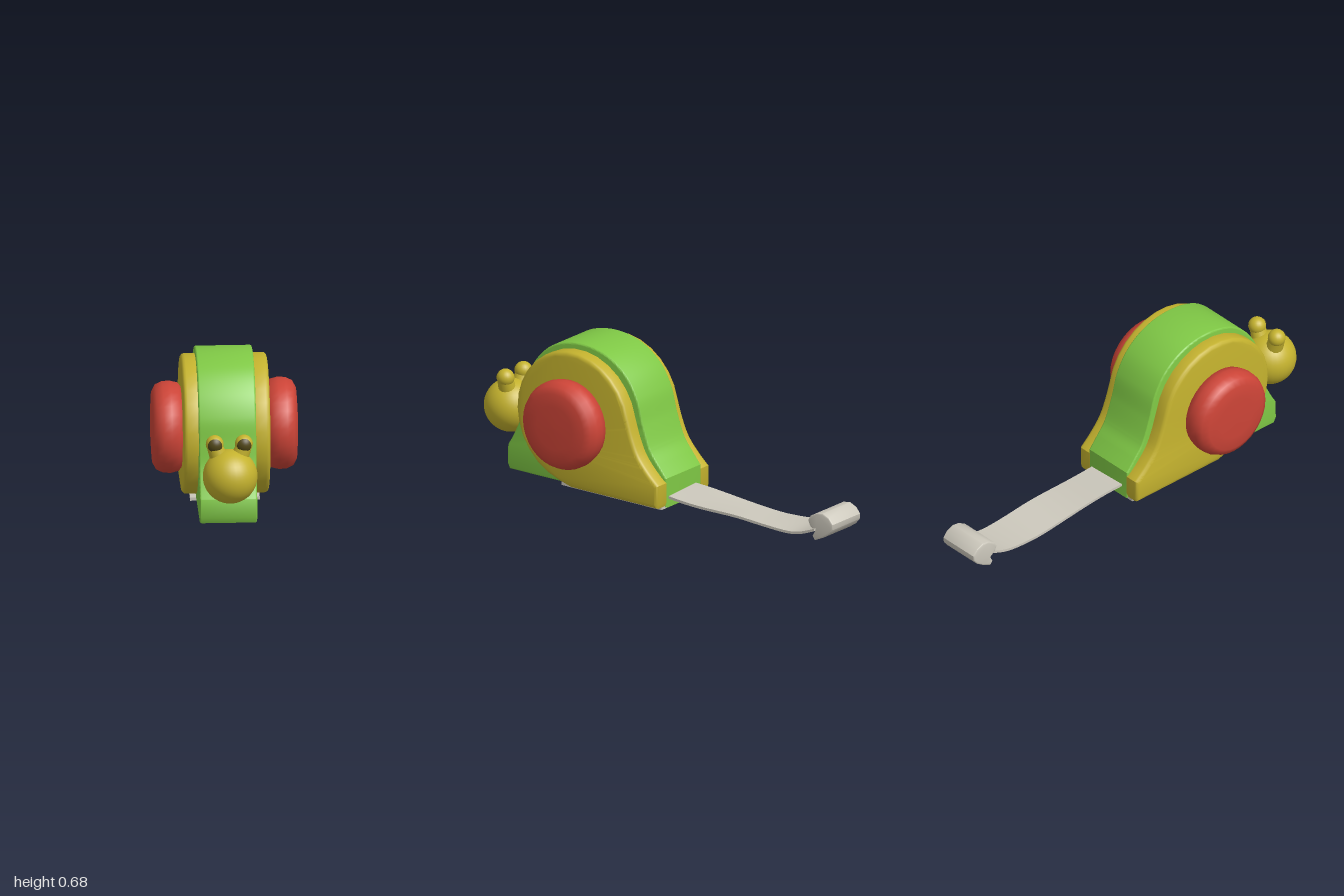
import * as THREE from 'three';
import { toCreasedNormals } from 'three/addons/utils/BufferGeometryUtils.js';

const colour = (name, hex) => {
  const m = new THREE.MeshStandardMaterial({ color: hex });
  m.name = name;
  return m;
};

export function createModel() {
  const group = new THREE.Group();
  const yellow = colour('yellow', 0xc4b22e);
  const green = colour('green', 0x7fc845);
  const red = colour('red', 0xcc4437);
  const silver = colour('silver', 0xcbc7bb);
  const dark = colour('dark olive', 0x514718);

  const add = (name, geometry, material, x = 0, y = 0, z = 0) => {
    const mesh = new THREE.Mesh(geometry, material);
    mesh.name = name;
    mesh.position.set(x, y, z);
    group.add(mesh);
    return mesh;
  };

  // Extrude a side profile, given as [z, y], to a width centred on x = 0
  const slab = (shape, width, bevel) => {
    const geo = new THREE.ExtrudeGeometry(shape, {
      depth: width - 2 * bevel, bevelThickness: bevel, bevelSize: bevel,
      bevelOffset: -bevel, bevelSegments: 3, curveSegments: 10,
    });
    geo.translate(0, 0, bevel - width / 2);
    geo.rotateY(-Math.PI / 2);
    return toCreasedNormals(geo, 0.6);
  };
  const v = (pts) => pts.map(([a, b]) => new THREE.Vector2(a, b));

  // Green shell band with front foot and tail
  const band = new THREE.Shape();
  band.moveTo(-0.09, 0.003);
  band.lineTo(0.79, 0.003);
  band.lineTo(0.803, 0.03);
  band.lineTo(0.8, 0.115);
  band.splineThru(v([[0.768, 0.17], [0.732, 0.25], [0.712, 0.35], [0.69, 0.46], [0.63, 0.565],
    [0.53, 0.645], [0.39, 0.675], [0.25, 0.652], [0.14, 0.58], [0.075, 0.48],
    [0.04, 0.36], [0, 0.255], [-0.045, 0.195], [-0.09, 0.14]]));
  add('shellBand', slab(band, 0.256, 0.008), green);

  // Yellow side plates
  const plate = new THREE.Shape();
  plate.moveTo(-0.085, 0.012);
  plate.lineTo(0.4, 0.012);
  plate.absarc(0.39, 0.335, 0.313, -1.3, 2.95, false);
  plate.splineThru(v([[0.055, 0.31], [0.02, 0.235], [-0.035, 0.17], [-0.09, 0.12]]));
  plate.lineTo(-0.09, 0.03);
  const plateGeo = slab(plate, 0.085, 0.018);
  for (const s of [1, -1]) {
    const side = s > 0 ? 'left' : 'right';
    add(side + 'SidePlate', plateGeo, yellow, s * 0.15);

    // Rounded red wheel
    const profile = v([[0.17, 0], [0.197, 0.02], [0.206, 0.055], [0.204, 0.09],
      [0.19, 0.12], [0.16, 0.136], [0.1, 0.14], [0.0001, 0.141]]);
    const wheel = new THREE.LatheGeometry(profile, 32);
    wheel.rotateZ(-s * Math.PI / 2);
    add(side + 'Wheel', wheel, red, s * 0.185, 0.325 + s * 0.005, 0.387);
  }

  // Silver base plate
  add('basePlate', new THREE.BoxGeometry(0.31, 0.016, 0.56), silver, 0, 0.008, 0.195);

  // Neck and head
  const neck = new THREE.CylinderGeometry(0.05, 0.07, 0.12, 20);
  neck.rotateX(Math.PI / 2);
  add('neck', neck, green, 0, 0.215, 0.735);
  add('head', new THREE.SphereGeometry(0.122, 32, 24), yellow, 0.003, 0.253, 0.876);

  // Eye stalks, knobs and pupils
  for (const s of [1, -1]) {
    const side = s > 0 ? 'left' : 'right';
    const stalk = add(side + 'EyeStalk', new THREE.CylinderGeometry(0.034, 0.043, 0.09, 16),
      yellow, s * 0.054, 0.358, 0.862);
    stalk.rotation.z = -s * 0.35;
    const x = s * 0.065;
    add(side + 'EyeKnob', new THREE.SphereGeometry(0.04, 20, 16), yellow, x, 0.4, 0.86);
    const cap = new THREE.SphereGeometry(0.0425, 20, 6, 0, Math.PI * 2, 0, 0.85);
    cap.rotateX(Math.PI / 2);
    add(side + 'Pupil', cap, dark, x, 0.4, 0.86);
  }

  // Gently waving tape
  const height = new THREE.SplineCurve(v([[-0.06, 0.055], [-0.25, 0.044], [-0.45, 0.034],
    [-0.62, 0.024], [-0.78, 0.03], [-0.9, 0.07]]));
  const tape = new THREE.BoxGeometry(0.2, 0.012, 1, 6, 1, 30);
  const p = tape.attributes.position;
  for (let i = 0; i < p.count; i++) {
    const c = height.getPoint(0.5 - p.getZ(i));
    const x = p.getX(i);
    p.setXYZ(i, x + 0.006 - 0.006 * Math.sin(c.x * 6),
      p.getY(i) + c.y + 0.06 * x * Math.sin(c.x * 9), c.x);
  }
  tape.computeVertexNormals();
  add('tape', tape, silver);

  // Rounded hook at the tape end
  const hook = new THREE.Shape(v([[-0.895, 0.012], [-0.94, 0.032], [-0.975, 0.055], [-0.995, 0.08],
    [-0.997, 0.105], [-0.975, 0.132], [-0.94, 0.147], [-0.905, 0.142], [-0.87, 0.122],
    [-0.857, 0.1], [-0.868, 0.075], [-0.895, 0.055], [-0.882, 0.03]]).reverse());
  add('tapeHook', slab(hook, 0.205, 0.006), silver, -0.012);

  return group;
}
